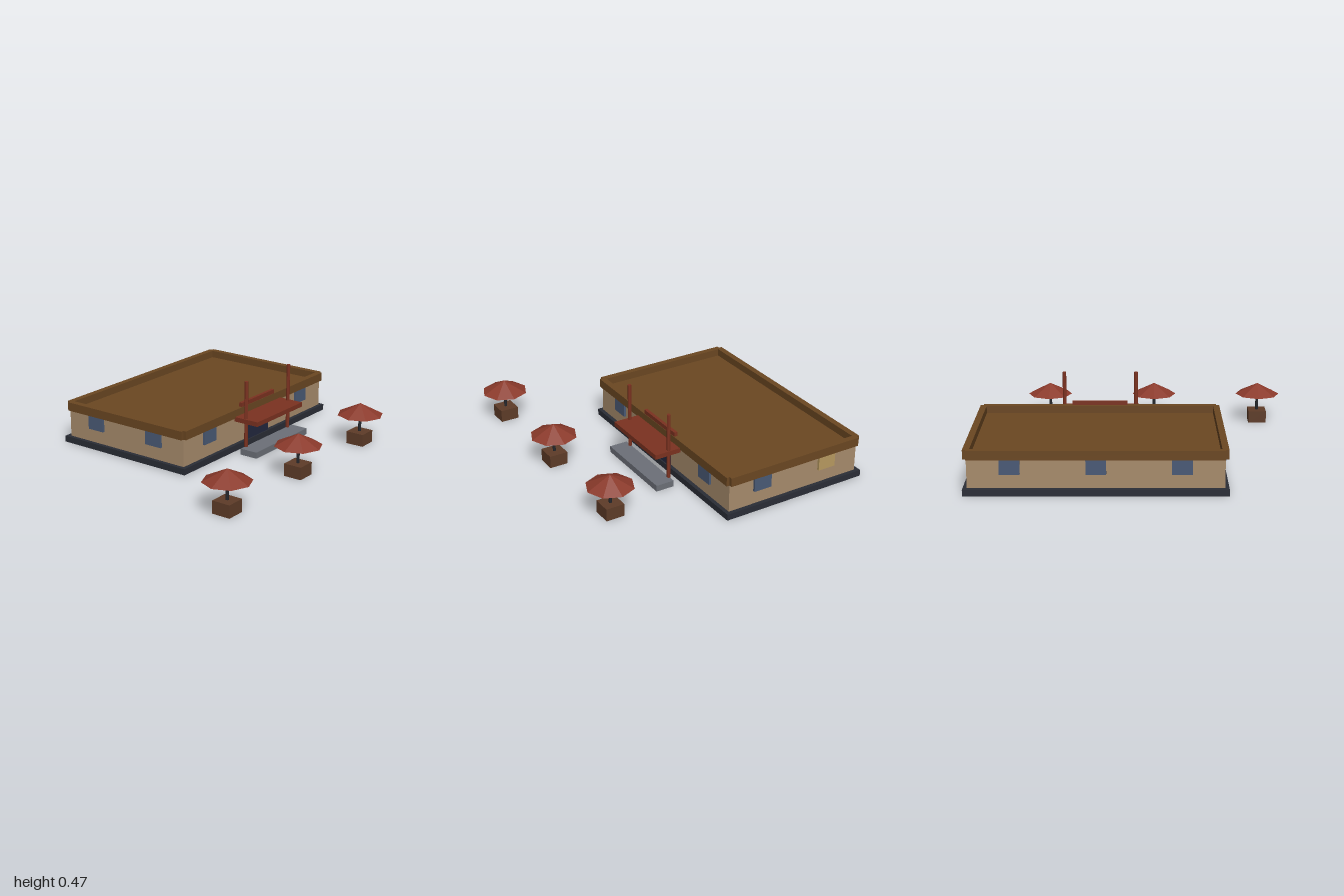
import * as THREE from 'three';

const mat = (color, extra = {}) => new THREE.MeshStandardMaterial({ color, flatShading: true, ...extra });

export function createModel() {
  const model = new THREE.Group();
  const m = {
    plinth: mat(0x2a2d36), wall: mat(0xa88c6c), roof: mat(0x6b4722), glass: mat(0x4a5a76),
    litGlass: mat(0xb89a60), door: mat(0x23283f), red: mat(0x7c3220), step: mat(0x6c7078),
    pole: mat(0x24262b), planter: mat(0x5e3c28), shade: mat(0x8b3a2b, { side: THREE.DoubleSide }),
  };

  const add = (name, geometry, material, x, y, z, parent = model) => {
    const mesh = new THREE.Mesh(geometry, material);
    mesh.name = name;
    mesh.position.set(x, y, z);
    parent.add(mesh);
    return mesh;
  };
  // Box given by its extents on each axis
  const box = (name, material, [x0, x1], [y0, y1], [z0, z1], parent) =>
    add(name, new THREE.BoxGeometry(x1 - x0, y1 - y0, z1 - z0), material,
      (x0 + x1) / 2, (y0 + y1) / 2, (z0 + z1) / 2, parent);

  // Building shell
  const X = [-0.53, 0.97], Z = [-0.81, 0.12];
  box('plinth', m.plinth, [-0.555, 0.995], [0, 0.04], [-0.84, 0.145]);
  box('walls', m.wall, X, [0.04, 0.215], Z);
  box('roof', m.roof, X, [0.215, 0.225], Z);

  // Parapet strips straddle the wall faces, leaving small notches at the corners
  const P = [0.217, 0.273], t = 0.02;
  for (const x of X) box('sideParapet', m.roof, [x - t, x + t], P, Z);
  for (const z of Z) box('longParapet', m.roof, X, P, [z - t, z + t]);

  // Windows: thin panels on every wall
  const W = [0.128, 0.22], half = 0.06, d = 0.015;
  for (const x of [-0.28, 0.72]) box('frontWindow', m.glass, [x - half, x + half], W, [Z[1] - d, Z[1] + d]);
  for (const x of [-0.28, 0.22, 0.72]) box('backWindow', m.glass, [x - half, x + half], W, [Z[0] - d, Z[0] + d]);
  for (const z of [-0.58, -0.11]) {
    box('rightWindow', z < -0.3 ? m.litGlass : m.glass, [X[1] - d, X[1] + d], W, [z - half, z + half]);
    box('leftWindow', m.glass, [X[0] - d, X[0] + d], W, [z - half, z + half]);
  }

  // Entrance
  box('door', m.door, [0.102, 0.335], [0.04, 0.19], [0.11, 0.137]);
  box('signBoard', m.red, [0.042, 0.398], [0.21, 0.3], [0.116, 0.137]);
  box('canopy', m.red, [-0.032, 0.467], [0.197, 0.227], [0.135, 0.311]);
  box('step', m.step, [-0.065, 0.505], [0, 0.04], [0.207, 0.328]);
  for (const x of [-0.013, 0.452])
    add('canopyPost', new THREE.CylinderGeometry(0.012, 0.012, 0.43, 8), m.red, x, 0.255, 0.211);

  // Parasol tables
  for (const x of [-0.85, -0.138, 0.577]) {
    const parasol = new THREE.Group();
    parasol.name = 'parasolTable';
    parasol.position.set(x, 0, 0.687);
    box('table', m.planter, [-0.06, 0.06], [0, 0.08], [-0.06, 0.06], parasol);
    add('pole', new THREE.CylinderGeometry(0.01, 0.01, 0.1, 8), m.pole, 0, 0.13, 0, parasol);
    add('shade', new THREE.ConeGeometry(0.148, 0.075, 8, 1, true), m.shade, 0, 0.23, 0, parasol);
    model.add(parasol);
  }
  return model;
}
